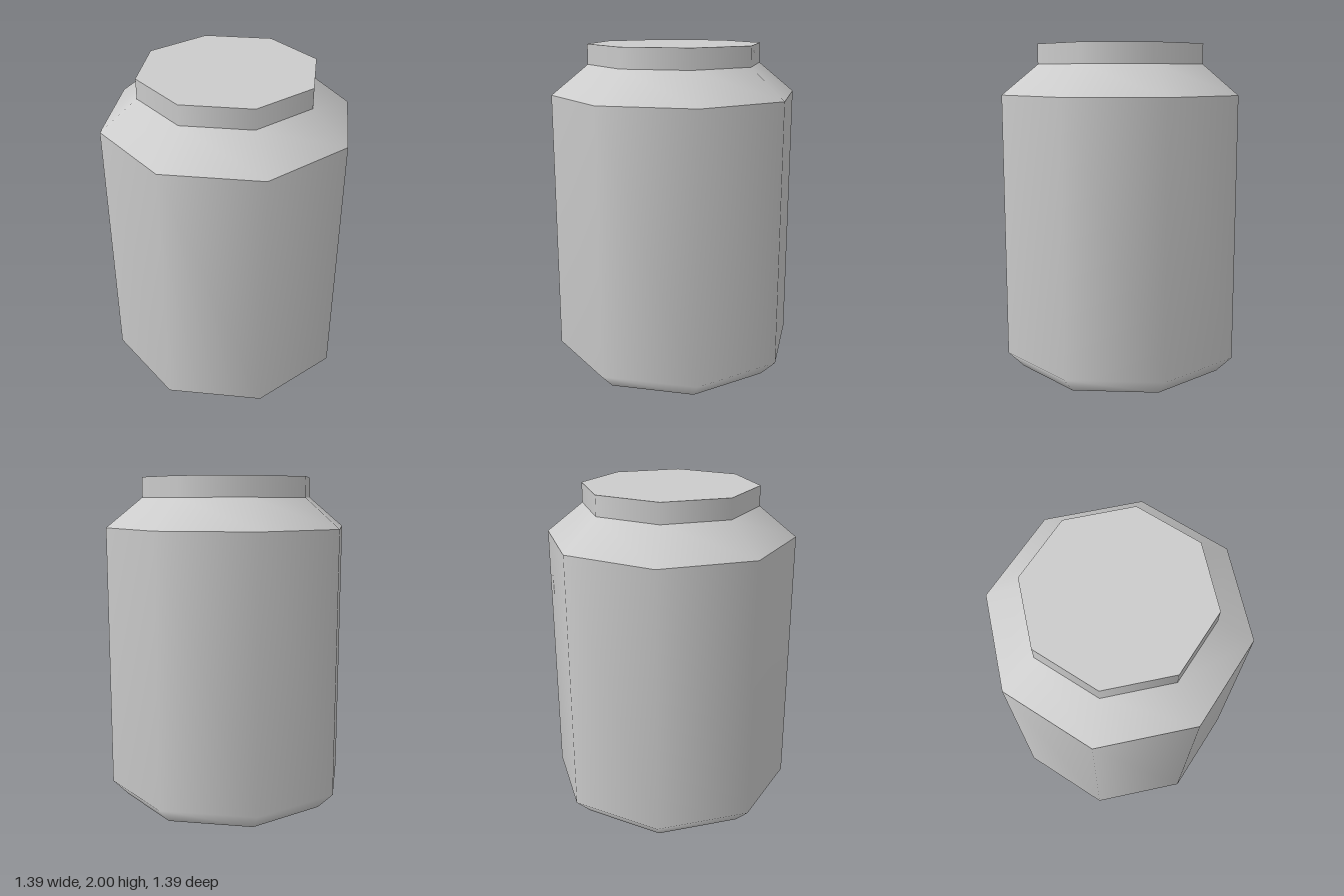
import * as THREE from 'three';

const SIDES = 8;
const TURN = Math.PI / SIDES; // flats face the axes
const cornerRadius = (apothem) => apothem / Math.cos(TURN);

export function createModel() {
  const group = new THREE.Group();
  const grey = new THREE.MeshStandardMaterial({ color: 0xcccccc });
  grey.name = 'light grey';

  const add = (name, geometry) => {
    const mesh = new THREE.Mesh(geometry, grey);
    mesh.name = name;
    group.add(mesh);
    return mesh;
  };

  // Smooth eight-sided wall from [apothem, height] pairs
  const wall = (name, profile) => add(name, new THREE.LatheGeometry(
    profile.map(([a, y]) => new THREE.Vector2(cornerRadius(a), y)), SIDES, TURN));

  // Flat octagon facing up (1) or down (-1)
  const cap = (name, apothem, y, facing) => {
    const disc = add(name, new THREE.CircleGeometry(cornerRadius(apothem), SIDES, TURN));
    disc.rotation.x = -facing * Math.PI / 2;
    disc.position.y = y;
  };

  // Body blends smoothly into its bottom bevel
  wall('body', [[0.605, 0], [0.695, 0.1], [0.695, 1.7]]);
  wall('shoulder', [[0.695, 1.7], [0.49, 1.88]]);
  wall('neck', [[0.49, 1.88], [0.49, 2]]);
  cap('lidTop', 0.49, 2, 1);
  cap('base', 0.605, 0, -1);

  return group;
}
